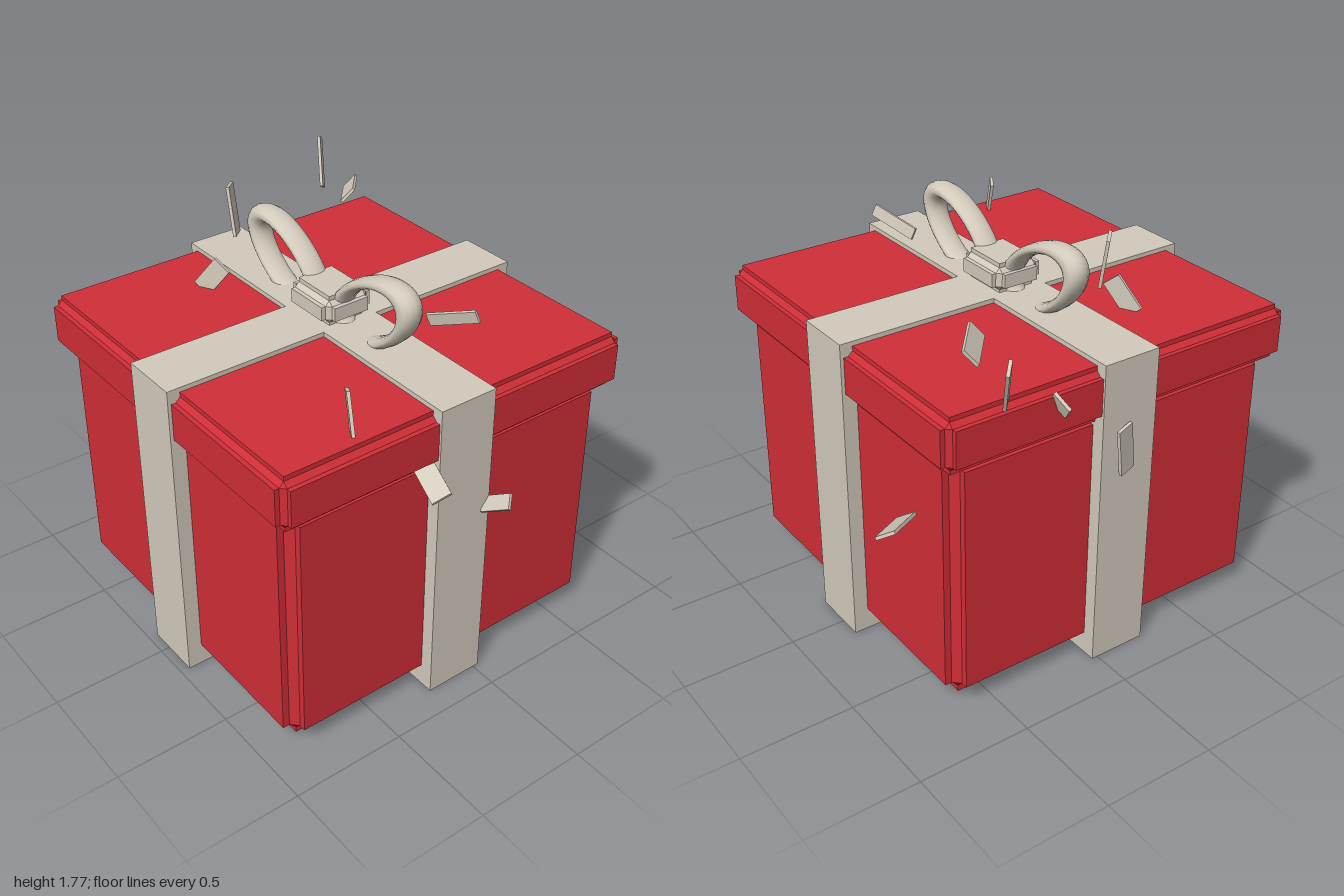
import * as THREE from 'three';
import { ConvexGeometry } from 'three/addons/geometries/ConvexGeometry.js';

const material = (name, color) => new THREE.MeshStandardMaterial({ name, color });

export function createModel() {
  const red = material('red paper', 0xd12e37);
  const cream = material('cream ribbon', 0xd3cbbc);
  const model = new THREE.Group();
  model.name = 'giftBox';
  const CX = 0.03, CZ = 0.105; // centre of the box

  function add(parent, name, geometry, mat, x = 0, y = 0, z = 0) {
    const mesh = new THREE.Mesh(geometry, mat);
    mesh.name = name;
    mesh.position.set(x, y, z);
    parent.add(mesh);
    return mesh;
  }

  // Box with notched edges: a chamfered core with a raised panel on each face
  function panelBox(name, hx, hy, hz, d, mat, y) {
    const group = new THREE.Group();
    group.name = name;
    group.position.set(CX, y, CZ);
    const half = [hx, hy, hz], corners = [];
    for (let axis = 0; axis < 3; axis++) {
      const panel = half.map((h, i) => (i === axis ? h : h - 2 * d));
      const core = half.map((h, i) => (i === axis ? h - d : h - 2 * d));
      add(group, name + 'Panel', new THREE.BoxGeometry(...panel.map((h) => h * 2)), mat);
      for (const sx of [-1, 1]) for (const sy of [-1, 1]) for (const sz of [-1, 1]) {
        corners.push(new THREE.Vector3(sx * core[0], sy * core[1], sz * core[2]));
      }
    }
    add(group, name + 'Core', new ConvexGeometry(corners), mat);
    model.add(group);
  }

  panelBox('body', 0.79, 0.565, 0.79, 0.03, red, 0.605);
  panelBox('lid', 0.84, 0.12, 0.84, 0.02, red, 1.25);

  // Crossing ribbons
  add(model, 'ribbonFrontToBack', new THREE.BoxGeometry(0.263, 1.39, 1.71), cream, CX, 0.695, CZ);
  add(model, 'ribbonSideToSide', new THREE.BoxGeometry(1.7, 1.39, 0.263), cream, CX, 0.695, CZ);

  // Bow: knot and two flattened, tilted loops
  panelBox('bowKnot', 0.14, 0.068, 0.12, 0.019, cream, 1.452);
  for (const side of [-1, 1]) {
    const loop = new THREE.TorusGeometry(0.236, 0.048, 12, 40);
    loop.scale(1, 0.515, 1.15);
    loop.rotateZ(side * Math.PI / 6);
    add(model, side > 0 ? 'bowLoopLeft' : 'bowLoopRight', loop, cream, CX + side * 0.282, 1.502, CZ);
  }

  // Confetti: centre, long edge, short edge
  const pieces = [
    [[-0.52, 1.655, 0.2], [0.04, -0.21, 0], [0.06, 0.01, 0.06]],
    [[-0.93, 1.525, -0.56], [0.1, -0.2, 0.06], [0.045, 0.03, 0.045]],
    [[-0.61, 1.53, -0.48], [0.15, 0.02, 0.13], [0.03, 0.06, -0.045]],
    [[-0.64, 0.9, -0.85], [0.125, -0.05, 0.17], [0.06, -0.04, -0.04]],
    [[-0.44, 1.425, 0.37], [0.09, 0.13, -0.05], [0.06, -0.05, -0.03]],
    [[0.555, 1.52, -0.09], [0.19, 0.07, -0.08], [0.02, -0.045, -0.02]],
    [[0.74, 1.435, 0.55], [0.06, -0.17, 0.02], [0.05, 0.02, 0.03]],
    [[0.905, 1.12, 0.295], [0.15, -0.06, 0.03], [-0.02, -0.04, 0.07]],
    [[0.93, 0.89, -0.02], [0.12, 0.07, -0.03], [0.01, -0.05, 0.04]],
    [[-0.83, 1.3, -0.245], [0.07, 0.05, -0.02], [0.04, -0.06, 0.02]],
    [[-0.835, 1.0, 0.08], [0.01, -0.21, 0.03], [0.02, 0, 0.08]],
  ];
  const confetti = new THREE.Group();
  confetti.name = 'confetti';
  model.add(confetti);
  for (const [centre, long, short] of pieces) {
    const u = new THREE.Vector3(...long), v = new THREE.Vector3(...short);
    const geometry = new THREE.BoxGeometry(u.length(), v.length(), 0.014);
    u.normalize();
    const w = u.clone().cross(v).normalize();
    geometry.applyMatrix4(new THREE.Matrix4().makeBasis(u, w.clone().cross(u), w));
    add(confetti, 'confettiPiece', geometry, cream, ...centre);
  }
  return model;
}
